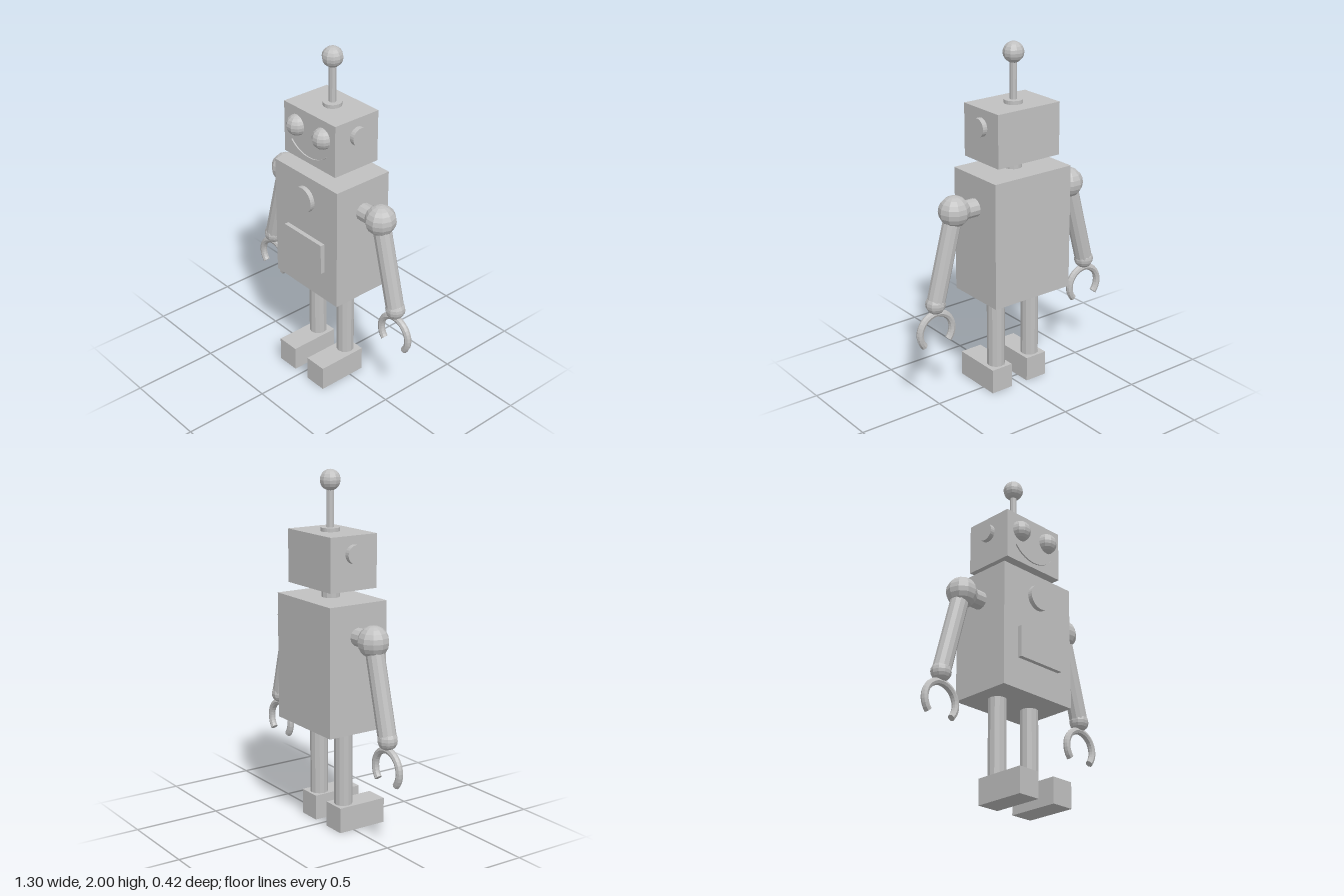
import * as THREE from 'three';

const AXIS = -0.026; // depth of the limb and neck axis

export function createModel() {
  const robot = new THREE.Group();
  robot.name = 'robot';
  const metal = new THREE.MeshStandardMaterial({ color: 0xc0c0c0 });
  metal.name = 'grey metal';
  metal.flatShading = true;

  const add = (name, geometry, x, y, z, parent = robot) => {
    const mesh = new THREE.Mesh(geometry, metal);
    mesh.name = name;
    mesh.position.set(x, y, z);
    parent.add(mesh);
    return mesh;
  };
  // box given by its bounds
  const box = (name, x0, x1, y0, y1, z0, z1) =>
    add(name, new THREE.BoxGeometry(x1 - x0, y1 - y0, z1 - z0),
      (x0 + x1) / 2, (y0 + y1) / 2, (z0 + z1) / 2);
  const ball = (name, r, x, y, z) => add(name, new THREE.SphereGeometry(r, 10, 10), x, y, z);
  // cylinder between two points
  const rod = (name, r, a, b, sides = 12) => {
    const from = new THREE.Vector3(...a), to = new THREE.Vector3(...b);
    const dir = to.clone().sub(from);
    const mid = from.clone().add(to).multiplyScalar(0.5);
    const mesh = add(name, new THREE.CylinderGeometry(r, r, dir.length(), sides), mid.x, mid.y, mid.z);
    mesh.quaternion.setFromUnitVectors(new THREE.Vector3(0, 1, 0), dir.normalize());
    return mesh;
  };

  // torso with dial and panel
  box('torso', -0.257, 0.257, 0.588, 1.307, -0.208, 0.161);
  rod('chestDial', 0.074, [0, 1.167, 0.15], [0, 1.167, 0.188], 32);
  box('chestPanel', -0.153, 0.155, 0.767, 0.947, 0.15, 0.187);

  // head, neck and antenna
  rod('neck', 0.051, [0, 1.29, AXIS], [0, 1.38, AXIS]);
  box('head', -0.206, 0.207, 1.37, 1.667, -0.168, 0.131);
  rod('antennaBase', 0.052, [0, 1.66, -0.03], [0, 1.688, -0.03], 20);
  rod('antennaRod', 0.02, [0, 1.68, -0.03], [0, 1.91, -0.03], 8);
  ball('antennaBall', 0.058, 0, 1.942, -0.03);

  // smile: thin crescent between two arcs
  const smile = new THREE.Shape();
  const lower = [], upper = [];
  for (let i = 0; i <= 24; i++) {
    const t = i / 12 - 1;
    const y = 1.464 - 0.182 * (Math.sqrt(1 - (t * 0.77) ** 2) - 0.638);
    lower.push(new THREE.Vector2(t * 0.14, y));
    upper.unshift(new THREE.Vector2(t * 0.14, y + 0.003 + 0.009 * (1 - t * t)));
  }
  smile.setFromPoints([...lower, ...upper]);
  add('smile', new THREE.ExtrudeGeometry(smile, { depth: 0.012, bevelEnabled: false }), 0, 0, 0.127);

  for (const s of [-1, 1]) {
    const side = s > 0 ? 'left' : 'right';
    ball(side + 'Eye', 0.06, s * 0.105 + 0.003, 1.564, 0.13);
    rod(side + 'Ear', 0.052, [s * 0.19, 1.568, -0.022], [s * 0.235, 1.568, -0.022], 24);

    // arm
    const lift = s * 0.004;
    const shoulder = [s * 0.394, 1.134 + lift, AXIS];
    const wrist = [s * 0.527, 0.629 + lift, AXIS];
    rod(side + 'ShoulderAxle', 0.051, [s * 0.24, 1.129, AXIS], [s * 0.36, 1.129, AXIS]);
    ball(side + 'ShoulderBall', 0.087, ...shoulder);
    rod(side + 'Arm', 0.051, shoulder, wrist);
    ball(side + 'WristBall', 0.056, ...wrist);

    // open ring claw, gap facing down
    const arc = THREE.MathUtils.degToRad(264);
    const claw = add(side + 'Claw', new THREE.TorusGeometry(0.105, 0.02, 8, 24, arc),
      s * 0.527, 0.468 + lift * 1.2, AXIS);
    claw.rotation.z = Math.PI / 2 - arc / 2;
    // flat end caps of the claw
    for (const [angle, turn] of [[0, Math.PI / 2], [arc, -Math.PI / 2]]) {
      const cap = add(side + 'ClawTip', new THREE.CircleGeometry(0.02, 8),
        0.105 * Math.cos(angle), 0.105 * Math.sin(angle), 0, claw);
      cap.rotation.set(turn, 0, 0);
      cap.rotation.order = 'ZXY';
      cap.rotation.z = angle;
    }

    // leg and foot
    rod(side + 'Leg', 0.051, [s * 0.121, 0.13, AXIS], [s * 0.121, 0.6, AXIS]);
    const fx = s * 0.123 + 0.003;
    box(side + 'Foot', fx - 0.068, fx + 0.068, 0, 0.145, -0.092, 0.208);
  }
  return robot;
}
